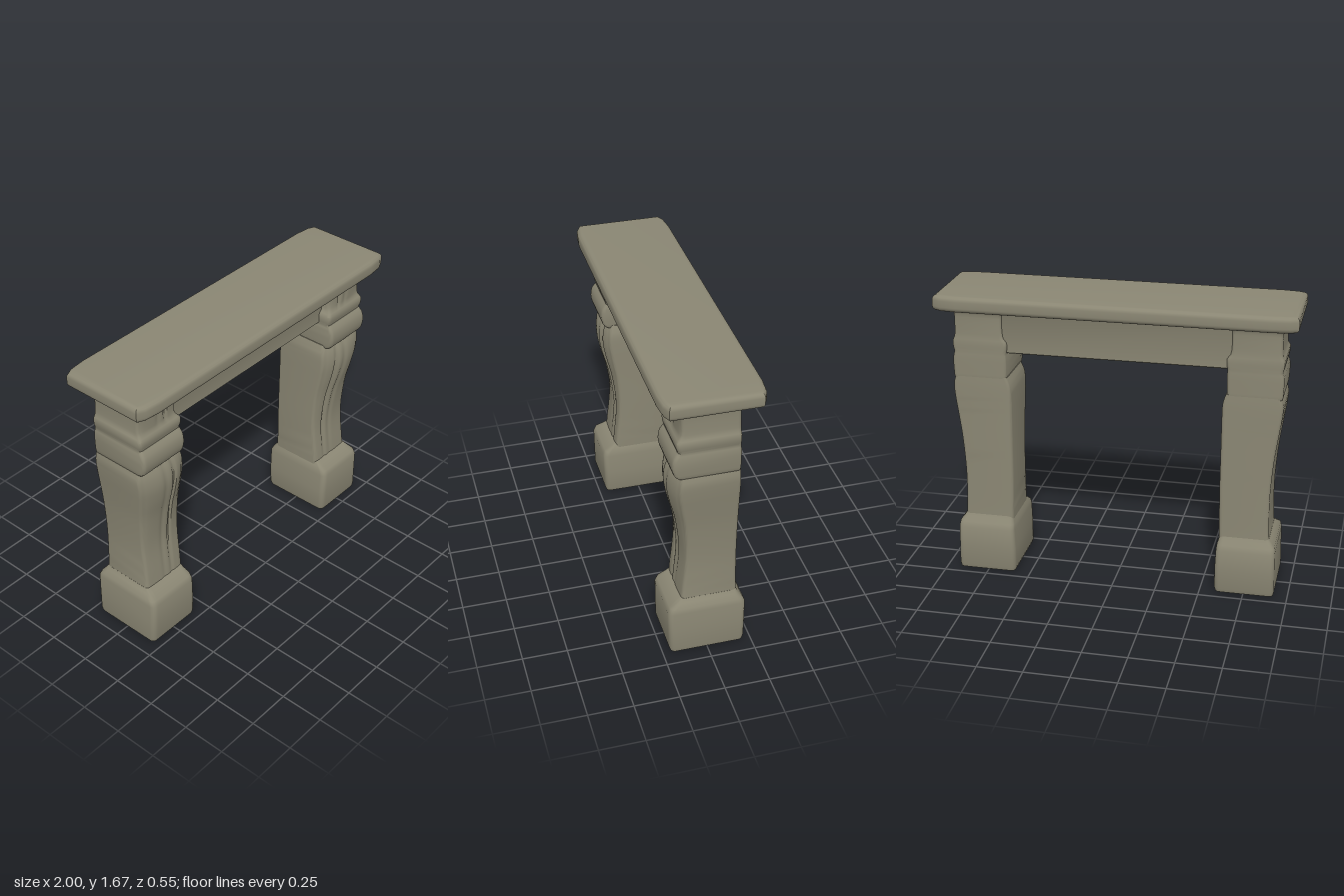
import * as THREE from 'three';
import { toCreasedNormals } from 'three/addons/utils/BufferGeometryUtils.js';

const stone = new THREE.MeshStandardMaterial({ color: 0x8a8673 });
stone.name = 'weatheredStone';

// Rounded rectangular cross-section, with a domed and grooved front edge.
function section([, inner, outer, front, back, r, dome = 0, groove = 0]) {
  const points = [];
  const corner = (cx, cz, start) => {
    for (let i = 0; i <= 4; i++) {
      const a = start - (i / 4) * Math.PI / 2;
      points.push([cx + r * Math.cos(a), cz + r * Math.sin(a)]);
    }
  };
  corner(inner + r, front - r, Math.PI);
  for (let i = 1; i < 24; i++) {
    const u = i / 24;
    const cut = Math.exp(-(((u - 0.27) / 0.04) ** 2)) + 0.5 * Math.exp(-(((u - 0.5) / 0.06) ** 2));
    points.push([inner + r + u * (outer - inner - 2 * r),
      front + dome * Math.sin(Math.PI * u) ** 0.7 - groove * cut]);
  }
  corner(outer - r, front - r, Math.PI / 2);
  corner(outer - r, back + r, 0);
  corner(inner + r, back + r, -Math.PI / 2);
  return points;
}

// Smoothly fill in extra rows between the given ones.
function refine(rows, steps) {
  const out = [];
  rows.forEach((row, j) => {
    out.push(row);
    if (j === rows.length - 1) return;
    const p = rows[Math.max(j - 1, 0)], q = rows[j + 1], n = rows[Math.min(j + 2, rows.length - 1)];
    for (let k = 1; k < steps; k++) {
      const t = k / steps;
      out.push(row.map((v, i) => 0.5 * (2 * v + (q[i] - p[i]) * t
        + (2 * p[i] - 5 * v + 4 * q[i] - n[i]) * t * t
        + (3 * v - p[i] - 3 * q[i] + n[i]) * t * t * t)));
    }
  });
  return out;
}

// Skin of stacked sections; side = 1 or -1 mirrors it in x.
function loft(rows, side) {
  const pos = [], index = [];
  const rings = rows.map(section);
  const n = rings[0].length;
  const tri = (a, b, c) => index.push(...(side > 0 ? [a, b, c] : [a, c, b]));
  rings.forEach((ring, j) => ring.forEach(([x, z]) => pos.push(side * x, rows[j][0], z)));
  for (let j = 0; j < rows.length - 1; j++) {
    for (let i = 0; i < n; i++) {
      const a = j * n + i, b = j * n + (i + 1) % n;
      tri(a, b, b + n);
      tri(a, b + n, a + n);
    }
  }
  // Close both ends with fans
  [0, rows.length - 1].forEach((j) => {
    const c = pos.length / 3, row = rows[j];
    pos.push(side * (row[1] + row[2]) / 2, row[0], (row[3] + row[4]) / 2);
    for (let i = 0; i < n; i++) {
      const a = j * n + i, b = j * n + (i + 1) % n;
      if (j === 0) tri(c, b, a); else tri(c, a, b);
    }
  });
  const geo = new THREE.BufferGeometry();
  geo.setAttribute('position', new THREE.Float32BufferAttribute(pos, 3));
  geo.setIndex(index);
  return toCreasedNormals(geo, 0.75);
}

// Rows: height, inner x, outer x, front z, back z, corner radius, dome, groove
const baseRows = [
  [0, 0.605, 0.905, 0.19, -0.19, 0.02],
  [0.008, 0.59, 0.92, 0.205, -0.205, 0.025],
  [0.03, 0.583, 0.925, 0.212, -0.212, 0.03],
  [0.15, 0.583, 0.922, 0.215, -0.215, 0.03],
  [0.27, 0.588, 0.92, 0.217, -0.215, 0.03],
  [0.3, 0.592, 0.915, 0.205, -0.2, 0.03],
  [0.325, 0.6, 0.895, 0.165, -0.18, 0.025],
  [0.345, 0.605, 0.882, 0.14, -0.17, 0.02],
];
const shaftRows = [
  [0.31, 0.6, 0.885, 0.14, -0.172, 0.02, 0.004, 0.004],
  [0.4, 0.598, 0.878, 0.132, -0.17, 0.02, 0.004, 0.008],
  [0.6, 0.594, 0.876, 0.114, -0.168, 0.02, 0.008, 0.014],
  [0.8, 0.594, 0.889, 0.124, -0.166, 0.02, 0.022, 0.018],
  [0.95, 0.594, 0.908, 0.15, -0.164, 0.02, 0.034, 0.018],
  [1.05, 0.594, 0.922, 0.165, -0.163, 0.02, 0.035, 0.016],
  [1.13, 0.597, 0.928, 0.163, -0.162, 0.02, 0.028, 0.012],
  [1.19, 0.615, 0.915, 0.15, -0.161, 0.02, 0.012, 0.006],
];
const capitalRows = [
  [1.165, 0.64, 0.9, 0.15, -0.15, 0.02, 0, 0],
  [1.175, 0.622, 0.92, 0.175, -0.16, 0.02, 0, 0],
  [1.2, 0.618, 0.924, 0.194, -0.161, 0.02, 0, 0],
  [1.25, 0.616, 0.926, 0.203, -0.161, 0.02, 0, 0],
  [1.3, 0.616, 0.924, 0.194, -0.161, 0.02, 0, 0],
  [1.33, 0.618, 0.917, 0.172, -0.16, 0.02, 0, 0],
  [1.35, 0.614, 0.923, 0.178, -0.16, 0.02, 0, 0],
  [1.39, 0.614, 0.925, 0.18, -0.16, 0.02, 0, 0],
  [1.415, 0.632, 0.914, 0.162, -0.158, 0.02, 0.004, 0.002],
  [1.46, 0.638, 0.911, 0.156, -0.157, 0.02, 0.012, 0.014],
  [1.53, 0.638, 0.911, 0.162, -0.157, 0.02, 0.01, 0.014],
  [1.56, 0.632, 0.917, 0.175, -0.162, 0.02, 0.002, 0.003],
  [1.595, 0.615, 0.94, 0.205, -0.19, 0.02, 0, 0],
];

export function createModel() {
  const model = new THREE.Group();
  model.name = 'fireplaceSurround';
  const add = (parent, name, geo) => {
    const mesh = new THREE.Mesh(geo, stone);
    mesh.name = name;
    parent.add(mesh);
    return mesh;
  };

  // Mirrored pilasters: plinth, scrolled shaft and rolled capital
  for (const side of [1, -1]) {
    const leg = new THREE.Group();
    leg.name = side > 0 ? 'leftPilaster' : 'rightPilaster';
    add(leg, 'plinth', loft(baseRows, side));
    add(leg, 'shaft', loft(refine(shaftRows, 4), side));
    add(leg, 'capital', loft(refine(capitalRows, 2), side));
    model.add(leg);
  }

  // Recessed beam, flaring into a cove below the shelf
  add(model, 'lintel', loft([
    [1.33, -0.67, 0.67, 0.1, -0.135, 0.01],
    [1.335, -0.67, 0.67, 0.106, -0.141, 0.01],
    [1.55, -0.67, 0.67, 0.11, -0.143, 0.01],
    [1.575, -0.67, 0.67, 0.125, -0.155, 0.01],
    [1.595, -0.67, 0.67, 0.155, -0.185, 0.01],
  ], 1));

  // Shelf with softened edges and slightly tapered corners
  const b = 0.028;
  const outline = [[1, 0.252], [0.975, 0.264], [0.89, 0.273], [-0.89, 0.273], [-0.975, 0.264], [-1, 0.252],
    [-1, -0.252], [-0.975, -0.264], [-0.89, -0.273], [0.89, -0.273], [0.975, -0.264], [1, -0.252]];
  const shape = new THREE.Shape(outline.map(([x, z]) =>
    new THREE.Vector2(x - Math.sign(x) * b, z - Math.sign(z) * b)));
  const shelf = new THREE.ExtrudeGeometry(shape, {
    depth: 0.09 - 2 * b, bevelEnabled: true, bevelThickness: b, bevelSize: b, bevelSegments: 5,
  });
  shelf.rotateX(-Math.PI / 2).translate(0, 1.585 + b, 0);
  add(model, 'mantelShelf', toCreasedNormals(shelf, 0.6));
  return model;
}
